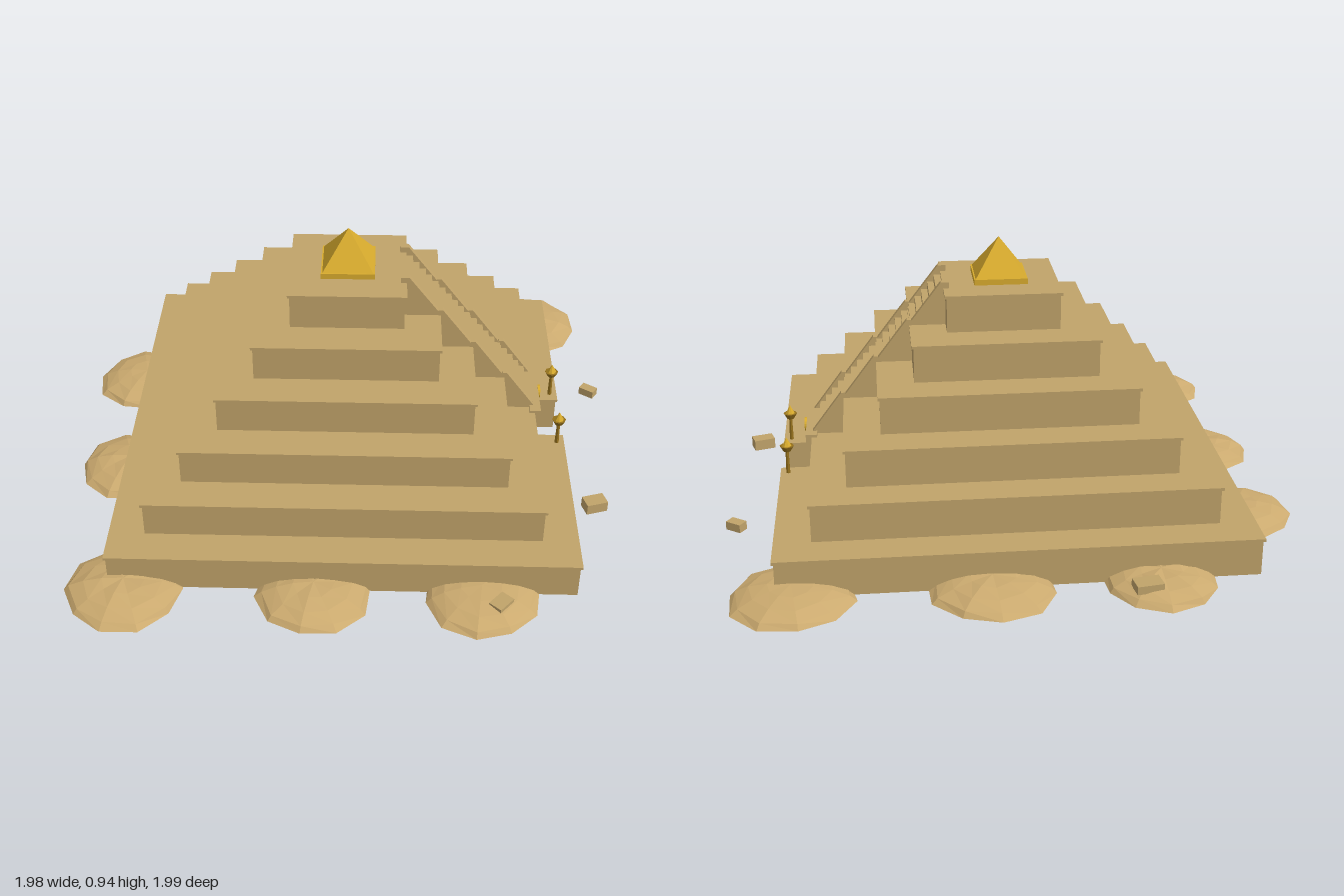
import * as THREE from 'three';

const CX = 0.01; // pyramid axis
const HALF = [0.793, 0.677, 0.56, 0.442, 0.323, 0.203]; // half width of each tier
const TOP = [0.132, 0.264, 0.396, 0.528, 0.66, 0.792]; // top of each tier
const GATE = 0.105, ROOM_BACK = 0.46, ROOM_TOP = 0.235;

export function createModel() {
  const model = new THREE.Group();
  model.name = 'steppedPyramid';
  const material = (name, color) => {
    const m = new THREE.MeshStandardMaterial({ color, flatShading: true });
    m.name = name;
    return m;
  };
  const stone = material('sandstone', 0xc0a36a);
  const sand = material('sand', 0xcbaa6f);
  const gold = material('gold', 0xd9ac2e);
  const bronze = material('bronze', 0x94701c);

  const add = (name, geometry, mat, x = 0, y = 0, z = 0, parent = model) => {
    const mesh = new THREE.Mesh(geometry, mat);
    mesh.name = name;
    mesh.position.set(x, y, z);
    parent.add(mesh);
    return mesh;
  };
  // Box given by its limits
  const block = (name, mat, x0, x1, y0, y1, z0, z1, parent) =>
    add(name, new THREE.BoxGeometry(x1 - x0, y1 - y0, z1 - z0), mat,
      (x0 + x1) / 2, (y0 + y1) / 2, (z0 + z1) / 2, parent);

  // Square slab, optionally cut open by the entrance passage
  const slab = (name, half, y0, y1, open) => {
    const l = CX - half, r = CX + half;
    const pts = [[l, -half], [r, -half]];
    if (open) pts.push([r, -GATE], [ROOM_BACK, -GATE], [ROOM_BACK, GATE], [r, GATE]);
    pts.push([r, half], [l, half]);
    const shape = new THREE.Shape(pts.map(([x, z]) => new THREE.Vector2(x, z)));
    const geo = new THREE.ExtrudeGeometry(shape, { depth: y1 - y0, bevelEnabled: false });
    geo.rotateX(-Math.PI / 2);
    add(name, geo, stone, 0, y0, 0);
  };

  // Tiers with a thin overhanging cap
  HALF.forEach((half, i) => {
    const bottom = i ? TOP[i - 1] : 0, body = half - 0.007, capY = TOP[i] - 0.01;
    if (i === 1) {
      slab('tierWalls', body, bottom, ROOM_TOP, true);
      slab('tierBody', body, ROOM_TOP, capY, false);
    } else {
      slab('tierBody', body, bottom, capY, i === 0);
    }
    slab('tierCap', half, capY, TOP[i], i === 0);
  });

  // Golden capstone on its slab
  block('capstoneBase', gold, CX - 0.093, CX + 0.093, 0.792, 0.812, -0.093, 0.093);
  const tip = new THREE.ConeGeometry(0.088 * Math.SQRT2, 0.128, 4, 1);
  tip.rotateY(Math.PI / 4);
  add('capstone', tip, gold, CX, 0.876, 0);

  // Stair flights, one against each of the upper tiers
  const stairs = new THREE.Group();
  stairs.name = 'stairs';
  model.add(stairs);
  const STEPS = 5;
  for (let i = 5; i > 1; i--) {
    const x0 = CX + HALF[i], x1 = CX + HALF[i - 1] - 0.004;
    const y0 = TOP[i], y1 = TOP[i - 1];
    for (let s = 0; s < STEPS; s++) {
      const end = x0 + (x1 - x0) * (s + 1) / STEPS;
      const top = y0 - (y0 - y1) * (s + 0.5) / STEPS;
      block('step', stone, x0 - 0.007, end, y1, top, -0.09, 0.09, stairs);
    }
    const side = new THREE.Shape([
      [x0 - 0.008, y1], [x1, y1], [x1, y1 + 0.01], [x0 + 0.008, y0 + 0.02], [x0 - 0.008, y0 + 0.02],
    ].map(([x, y]) => new THREE.Vector2(x, y)));
    for (const z of [-0.11, 0.088]) {
      add('stringer', new THREE.ExtrudeGeometry(side, { depth: 0.022, bevelEnabled: false }), stone, 0, 0, z, stairs);
    }
  }
  // Posts at the head of the stairs
  for (const z of [-0.1, 0.1]) {
    block('headPost', stone, 0.192, 0.216, 0.79, 0.813, z - 0.013, z + 0.013, stairs);
  }

  // Gateway
  block('lintel', stone, 0.668, 0.708, ROOM_TOP, 0.274, -0.145, 0.145);
  const disc = new THREE.CylinderGeometry(0.024, 0.024, 0.009, 16);
  disc.rotateZ(Math.PI / 2);
  add('sunDisc', disc, gold, 0.712, 0.254, 0);

  // Altar at the back of the passage
  block('altar', stone, 0.48, 0.54, 0, 0.052, -0.024, 0.024);
  block('altarTop', gold, 0.475, 0.545, 0.052, 0.061, -0.03, 0.03);

  // Standing lamps and wall torches, mirrored about the passage
  for (const side of [-1, 1]) {
    const lamp = new THREE.Group();
    lamp.name = 'lamp';
    lamp.position.set(0.776, TOP[0], side * 0.145);
    model.add(lamp);
    add('lampPost', new THREE.CylinderGeometry(0.006, 0.008, 0.09, 6), bronze, 0, 0.045, 0, lamp);
    add('lampBowl', new THREE.CylinderGeometry(0.025, 0.014, 0.02, 8), bronze, 0, 0.095, 0, lamp);
    add('lampFlame', new THREE.ConeGeometry(0.018, 0.034, 7), gold, 0, 0.12, 0, lamp);

    add('wallTorch', new THREE.CylinderGeometry(0.009, 0.004, 0.035, 6), bronze, 0.69, 0.158, side * 0.095);
    add('torchFlame', new THREE.ConeGeometry(0.009, 0.02, 6), gold, 0.69, 0.183, side * 0.095);
  }

  // Low faceted sand drifts around the base: x, z, radius
  const drifts = [
    [-0.44, -0.8, 0.19], [0.105, -0.79, 0.21], [0.745, -0.79, 0.205], [-0.805, -0.36, 0.19],
    [-0.79, 0.17, 0.185], [-0.72, 0.8, 0.2], [-0.085, 0.8, 0.195], [0.475, 0.8, 0.195],
  ];
  drifts.forEach(([x, z, r], n) => {
    const profile = [[0, 0], [1, 0], [0.9, 0.018], [0.66, 0.037], [0.36, 0.048], [0, 0.052]]
      .map(([k, y]) => new THREE.Vector2(k * r, y));
    const geo = new THREE.LatheGeometry(profile, 10, n * 0.7);
    const p = geo.attributes.position;
    for (let i = 0; i < p.count; i++) {
      const a = Math.atan2(p.getZ(i), p.getX(i)), y = p.getY(i);
      const k = 1 + 0.035 * Math.sin(3 * a + n * 2 + y * 60);
      p.setXYZ(i, p.getX(i) * k, y * (y < 0.05 ? 1 + 0.07 * Math.sin(5 * a + n) : 1), p.getZ(i) * k);
    }
    geo.computeVertexNormals();
    add('sandDrift', geo, sand, x, 0, z);
  });

  // Fallen blocks: x, y, z, width, height, depth, turn
  const rubble = [
    [-0.38, 0.043, -0.89, 0.09, 0.028, 0.06, 0.15], [0.953, 0.02, -0.315, 0.06, 0.03, 0.038, -0.6],
    [0.9, 0.026, 0.36, 0.078, 0.04, 0.052, 0.3], [0.535, 0.036, 0.87, 0.07, 0.03, 0.05, 0.85],
  ];
  for (const [x, y, z, w, h, d, turn] of rubble) {
    add('fallenBlock', new THREE.BoxGeometry(w, h, d), stone, x, y, z).rotation.y = turn;
  }
  return model;
}
